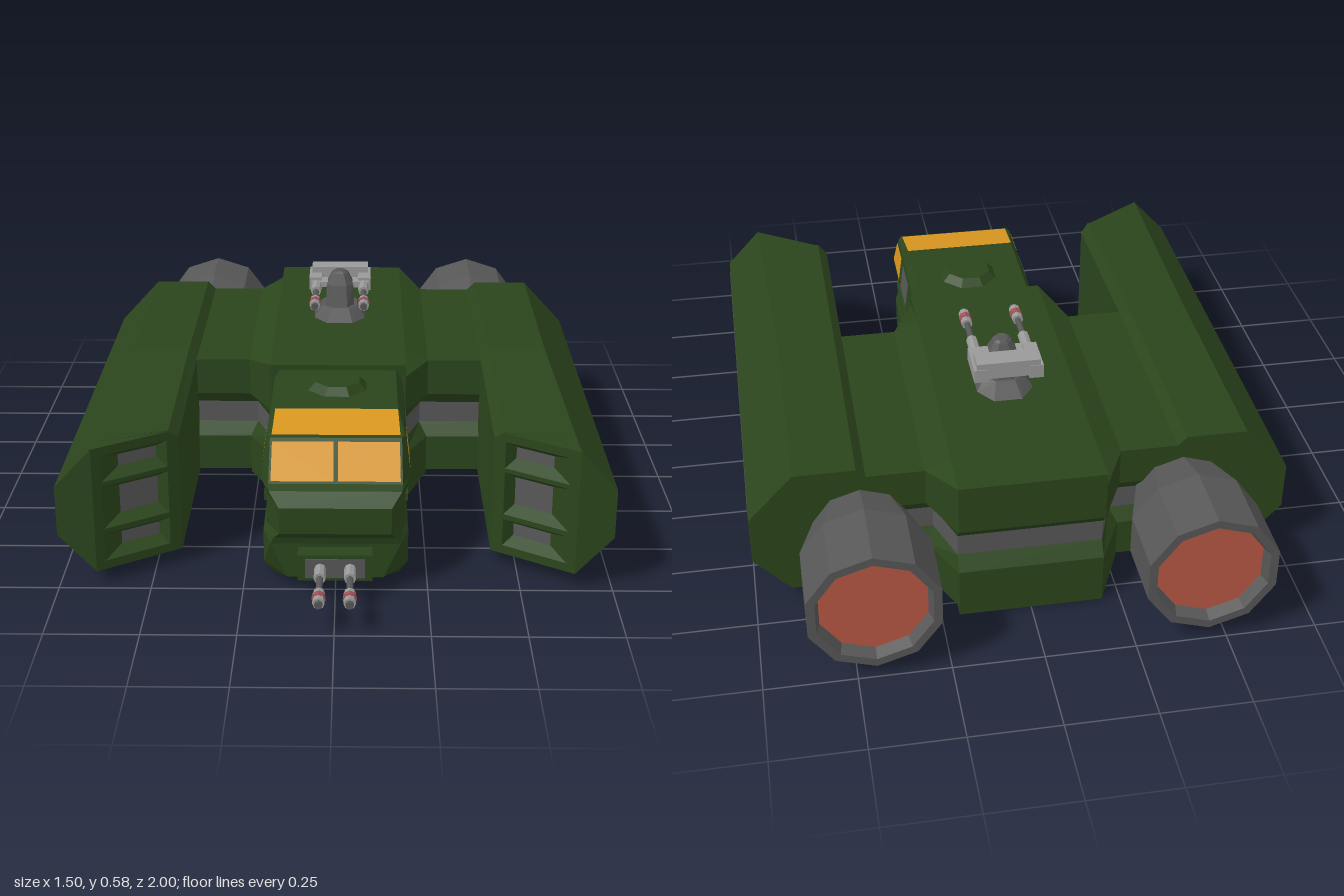
import * as THREE from 'three';

const mat = (color) => new THREE.MeshStandardMaterial({ color, flatShading: true, side: THREE.DoubleSide });
const GREEN = mat(0x2b451c), DARK = mat(0x575757), STEEL = mat(0x999999);
const AMBER = mat(0xd8961f), RED = mat(0xb85844), BAND = mat(0xa05055);

function add(parent, name, geometry, material, x = 0, y = 0, z = 0) {
  const mesh = new THREE.Mesh(geometry, material);
  mesh.name = name;
  mesh.position.set(x, y, z);
  parent.add(mesh);
  return mesh;
}

// Joins rings of [x, y, z] points that all have the same count; ends closed by fans.
function loft(rings, capStart = true, capEnd = true) {
  const n = rings[0].length, index = [];
  rings.slice(1).forEach((_, r) => {
    for (let i = 0; i < n; i++) {
      const a = r * n + i, b = r * n + (i + 1) % n;
      index.push(a, b, b + n, a, b + n, a + n);
    }
  });
  const last = (rings.length - 1) * n;
  for (let i = 1; i < n - 1; i++) {
    if (capStart) index.push(0, i + 1, i);
    if (capEnd) index.push(last, last + i, last + i + 1);
  }
  const g = new THREE.BufferGeometry();
  g.setAttribute('position', new THREE.Float32BufferAttribute(rings.flat(2), 3));
  g.setIndex(index);
  const flat = g.toNonIndexed();
  flat.computeVertexNormals();
  return flat;
}

const quad = (...corners) => loft([corners], false, true);
const shapeOf = (pts) => new THREE.Shape(pts.map(([x, y]) => new THREE.Vector2(x, y)));
const box = (w, h, d) => new THREE.BoxGeometry(w, h, d);

// Plan outlines, ordered so that upward lofts face outward.
const hullRing = ([y, w, inset]) => {
  const e = Math.min(0.2, w), f = 0.18 - inset, r = -0.8 + inset;
  return [[e, r], [w, -0.66 + inset], [w, 0.04 - inset], [e, f], [-e, f], [-w, 0.04 - inset], [-w, -0.66 + inset], [-e, r]]
    .reverse().map(([x, z]) => [x, y, z]);
};
const bridgeRing = ([y, inset]) =>
  [[-0.45, -0.66 + inset], [-0.45, 0.04 - inset], [0.45, 0.04 - inset], [0.45, -0.66 + inset]].map(([x, z]) => [x, y, z]);
const cabinRing = ([y, w, zs, wc, zf]) =>
  [[-w, 0.15], [-w, zs], [-wc, zf], [wc, zf], [w, zs], [w, 0.15]].map(([x, z]) => [x, y, z]);

function hull(root) {
  const g = new THREE.Group();
  g.name = 'hull';
  root.add(g);
  // lower and upper shells with a recessed dark band between them
  add(g, 'lowerHull', loft([[0, 0.2, 0], [0.03, 0.27, 0], [0.15, 0.27, 0], [0.19, 0.25, 0.03]].map(hullRing)), GREEN);
  add(g, 'hullBand', loft([[0.19, 0.25, 0.03], [0.255, 0.25, 0.03]].map(hullRing)), DARK);
  add(g, 'upperHull', loft([[0.255, 0.25, 0.03], [0.29, 0.27, 0], [0.4, 0.27, 0], [0.435, 0.2, 0]].map(hullRing)), GREEN);
  add(g, 'lowerBridge', loft([[0.04, 0], [0.15, 0], [0.19, 0.025]].map(bridgeRing)), GREEN);
  add(g, 'bridgeBand', loft([[0.19, 0.025], [0.255, 0.025]].map(bridgeRing)), DARK);
  add(g, 'upperBridge', loft([[0.255, 0.025], [0.29, 0], [0.4, 0]].map(bridgeRing)), GREEN);
}

// Side pod on +x
function pod() {
  const g = new THREE.Group();
  g.name = 'sidePod';
  const cut = (x) => 0.73 - Math.max(0, 0.648 - x) * 0.65;
  const ring = ([z, notch]) => {
    const t = 0.425 - 0.025 * Math.max(0, z) / 0.73, ridge = 0.75 - (t - 0.29) * 0.926;
    return [[0.648, 0.04], [0.75, 0.15], [0.75, 0.16], [0.75 - notch, 0.175], [0.75 - notch, 0.27], [0.75, 0.285],
      [0.75, 0.29], [ridge, t], [0.455, t], [0.43, t - 0.025], [0.43, 0.04]].map(([x, y]) => [x, y, Math.min(z, cut(x))]);
  };
  const stations = [[-0.66, 0], [-0.6, 0], [-0.57, 0.02], [0, 0.02], [0.65, 0.02], [0.68, 0], [0.73, 0]];
  add(g, 'podBody', loft(stations.map(ring), true, false), GREEN);

  // long recessed side panel
  const side = (x, y0, y1, z0, z1) => [[x, y0, z0], [x, y1, z0], [x, y1, z1], [x, y0, z1]];
  add(g, 'sidePanel', loft([side(0.7515, 0.16, 0.285, -0.6, 0.68), side(0.7315, 0.175, 0.27, -0.57, 0.65)], false), DARK);

  // slanted nose with three tapered openings
  add(g, 'noseCorner', quad([0.648, 0.04, 0.73], [0.75, 0.15, 0.73], [0.75, 0.29, 0.73], [0.648, 0.4, 0.73]), GREEN);
  const face = shapeOf([[0.43, 0.04], [0.648, 0.04], [0.648, 0.4], [0.455, 0.4], [0.43, 0.375]]);
  const rect = (x0, x1, y0, y1) => [[x0, y0], [x1, y0], [x1, y1], [x0, y1]];
  for (const [y0, y1] of [[0.065, 0.145], [0.16, 0.285], [0.298, 0.375]]) {
    const outer = rect(0.46, 0.625, y0, y1), inner = rect(0.492, 0.588, y0 + 0.022, y1 - 0.022);
    face.holes.push(shapeOf(outer));
    const at = (pts, d) => pts.map(([x, y]) => [x, y, cut(x) - d]);
    add(g, 'intakeFrame', loft([at(outer, 0), at(inner, 0.04)], false, false), GREEN);
    add(g, 'intakeVent', quad(...at(inner, 0.04)), DARK);
  }
  const faceGeo = new THREE.ShapeGeometry(face), p = faceGeo.attributes.position;
  for (let i = 0; i < p.count; i++) p.setZ(i, cut(p.getX(i)));
  add(g, 'noseFace', faceGeo, GREEN);

  // ten-sided engine
  const lathe = (pts) => new THREE.LatheGeometry(pts.map(([r, d]) => new THREE.Vector2(r, d)), 10).rotateX(-Math.PI / 2);
  add(g, 'engine', lathe([[0, 0.64], [0.13, 0.64], [0.184, 0.8], [0.184, 1], [0.16, 1], [0.148, 0.96]]), DARK, 0.448, 0.222);
  add(g, 'engineGlow', lathe([[0.15, 0.965], [0, 0.965]]), RED, 0.448, 0.222);
  return g;
}

// Gun barrel pointing to +z from z0 to z1
function gun(parent, x, y, z0, z1) {
  const g = new THREE.Group(), len = z1 - z0;
  g.name = 'gun';
  g.position.set(x, y, z0);
  parent.add(g);
  const tube = (name, r, a, b, m) =>
    add(g, name, new THREE.CylinderGeometry(r, r, (b - a) * len, 8).rotateX(Math.PI / 2), m, 0, 0, (a + b) / 2 * len);
  tube('sleeve', 0.016, 0, 0.32, STEEL);
  tube('barrel', 0.009, 0.3, 0.72, DARK);
  tube('muzzle', 0.016, 0.68, 0.95, STEEL);
  tube('muzzleBand', 0.018, 0.77, 0.86, BAND);
  tube('muzzleTip', 0.011, 0.95, 1, DARK);
}

function cabin(root) {
  const g = new THREE.Group();
  g.name = 'cabin';
  root.add(g);
  add(g, 'cabinBody', loft([
    [0, 0.175, 0.64, 0.12, 0.68], [0.035, 0.198, 0.65, 0.13, 0.745], [0.135, 0.198, 0.66, 0.175, 0.745],
    [0.155, 0.188, 0.65, 0.165, 0.75], [0.175, 0.188, 0.66, 0.15, 0.768], [0.25, 0.188, 0.66, 0.15, 0.768],
    [0.285, 0.2, 0.66, 0.178, 0.735], [0.295, 0.2, 0.655, 0.18, 0.71], [0.395, 0.187, 0.61, 0.178, 0.63],
    [0.42, 0.17, 0.46, 0.168, 0.475],
  ].map(cabinRing)), GREEN);
  for (const s of [-1, 1]) {
    add(g, 'windscreen', quad([s * 0.006, 0.302, 0.709], [s * 0.174, 0.302, 0.709], [s * 0.172, 0.388, 0.64], [s * 0.006, 0.388, 0.64]), AMBER);
    const sideWindow = (name, z0, z1, z2, m) =>
      add(g, name, quad([s * 0.202, 0.305, z0], [s * 0.202, 0.305, z1], [s * 0.1915, 0.385, z2], [s * 0.1915, 0.385, z0]), m);
    sideWindow('sideWindow', 0.5, 0.645, 0.61, AMBER);
    sideWindow('rearSideWindow', 0.33, 0.46, 0.46, DARK);
    add(g, 'sideRail', box(0.014, 0.02, 0.4), GREEN, s * 0.19, 0.215, 0.42);
    gun(g, s * 0.04, 0.087, 0.785, 1);
  }
  add(g, 'roofWindow', quad([-0.174, 0.3995, 0.62], [0.174, 0.3995, 0.62], [0.17, 0.421, 0.485], [-0.17, 0.421, 0.485]), AMBER);
  add(g, 'roofHatch', new THREE.CylinderGeometry(0.068, 0.092, 0.024, 8).rotateY(Math.PI / 8), GREEN, 0, 0.43, 0.31);
  // chin gun mount
  add(g, 'gunMount', box(0.2, 0.075, 0.1), GREEN, 0, 0.088, 0.745);
  add(g, 'gunPlate', box(0.16, 0.055, 0.01), DARK, 0, 0.087, 0.793);
}

function turret(root) {
  const g = new THREE.Group();
  g.name = 'turret';
  g.position.set(0, 0.435, -0.31);
  root.add(g);
  const oct = ([y, w, d]) =>
    [[-w, -d / 2], [-w, d / 2], [-w / 2, d], [w / 2, d], [w, d / 2], [w, -d / 2], [w / 2, -d], [-w / 2, -d]].map(([x, z]) => [x, y, z]);
  add(g, 'turretBase', loft([[0, 0.08, 0.11], [0.035, 0.055, 0.065]].map(oct)), DARK);
  add(g, 'turretNeck', loft([[0.03, 0.045, 0.06], [0.1, 0.042, 0.04], [0.135, 0.025, 0.025], [0.142, 0.015, 0.02]].map(oct)), DARK);
  add(g, 'turretRearPlate', box(0.18, 0.05, 0.06), STEEL, 0, 0.108, -0.088);
  for (const s of [-1, 1]) {
    add(g, 'gunArm', box(0.04, 0.04, 0.12), STEEL, s * 0.078, 0.095, -0.06);
    add(g, 'armBracket', box(0.055, 0.018, 0.05), STEEL, s * 0.063, 0.097, -0.01);
    gun(g, s * 0.075, 0.093, 0, 0.23);
  }
}

export function createModel() {
  const root = new THREE.Group();
  root.name = 'gunship';
  hull(root);
  const right = pod(), left = pod();
  left.scale.x = -1;
  root.add(right, left);
  cabin(root);
  turret(root);
  return root;
}
